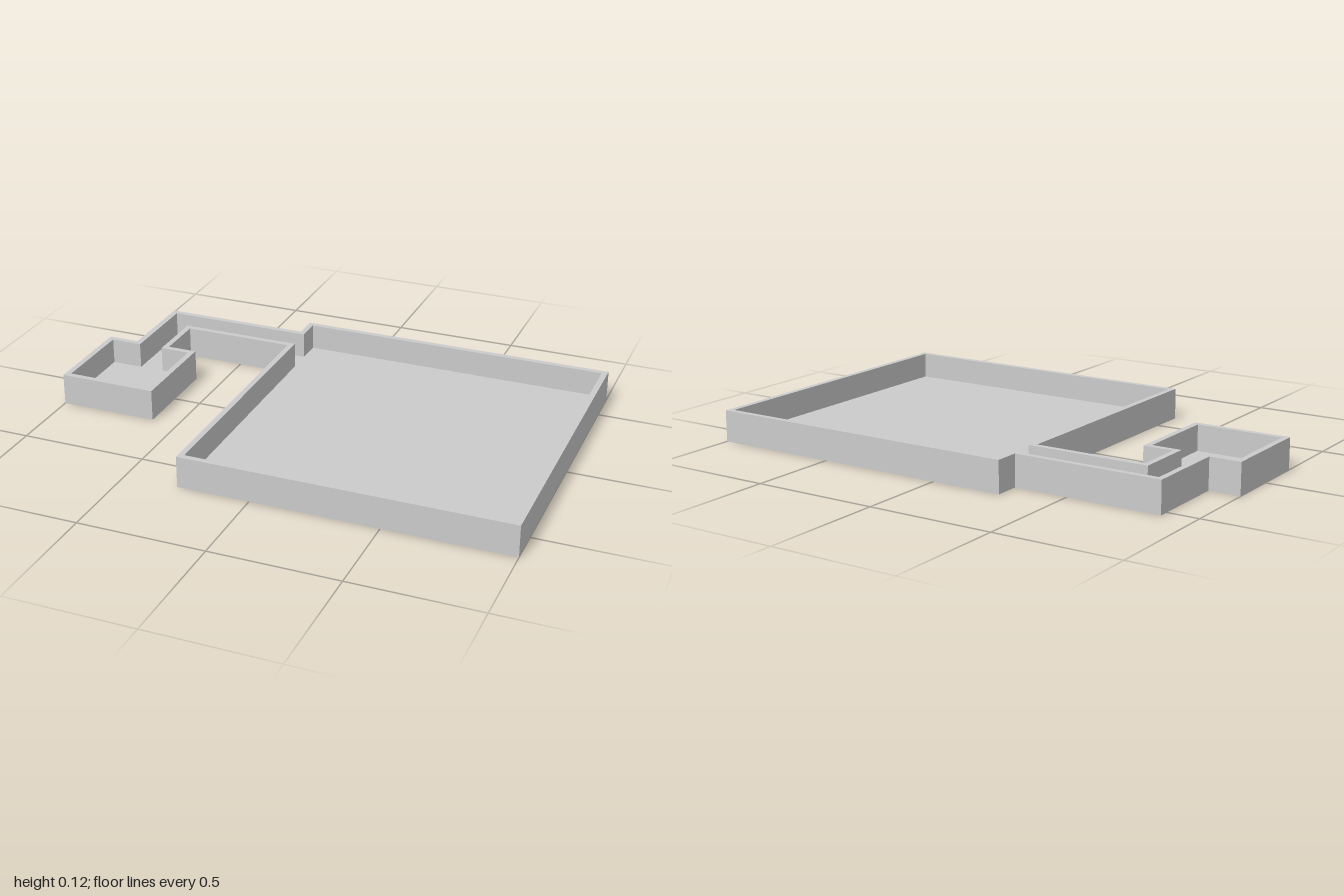
import * as THREE from 'three';

const HEIGHT = 0.125;
const WALL = 0.023;
const FLOOR = 0.022;

// Plan outline as [x, z]: large room, bent corridor, small room
const OUTLINE = [
  [1, 0.64], [1, -0.64], [-0.285, -0.64], [-0.285, -0.54],
  [-0.875, -0.54], [-0.875, -0.198], [-1, -0.198], [-1, 0.198],
  [-0.61, 0.198], [-0.61, -0.198], [-0.73, -0.198], [-0.73, -0.395],
  [-0.285, -0.395], [-0.285, 0.64],
].map(([x, z]) => new THREE.Vector2(x, -z));

// Move each right-angled corner inward by d along both adjoining edge normals
function inset(points, d) {
  const n = points.length;
  const normal = (a, b) => {
    const e = b.clone().sub(a).normalize();
    return new THREE.Vector2(-e.y, e.x);
  };
  return points.map((p, i) => {
    const before = normal(points[(i + n - 1) % n], p);
    const after = normal(p, points[(i + 1) % n]);
    return p.clone().addScaledVector(before.add(after), d);
  });
}

// Extrude a plan shape upward from a base level
function slab(name, shape, base, depth, material) {
  const geometry = new THREE.ExtrudeGeometry(shape, { depth, bevelEnabled: false });
  geometry.rotateX(-Math.PI / 2);
  geometry.translate(0, base, 0);
  const mesh = new THREE.Mesh(geometry, material);
  mesh.name = name;
  return mesh;
}

export function createModel() {
  const group = new THREE.Group();
  group.name = 'floorPlan';
  const material = new THREE.MeshStandardMaterial({ color: 0xcccccc });

  // Continuous floor under all rooms
  group.add(slab('floor', new THREE.Shape(OUTLINE), 0, FLOOR, material));

  // Perimeter wall, open inside so the rooms connect
  const ring = new THREE.Shape(OUTLINE);
  ring.holes.push(new THREE.Path(inset(OUTLINE, WALL)));
  group.add(slab('perimeterWall', ring, FLOOR, HEIGHT - FLOOR, material));

  return group;
}
